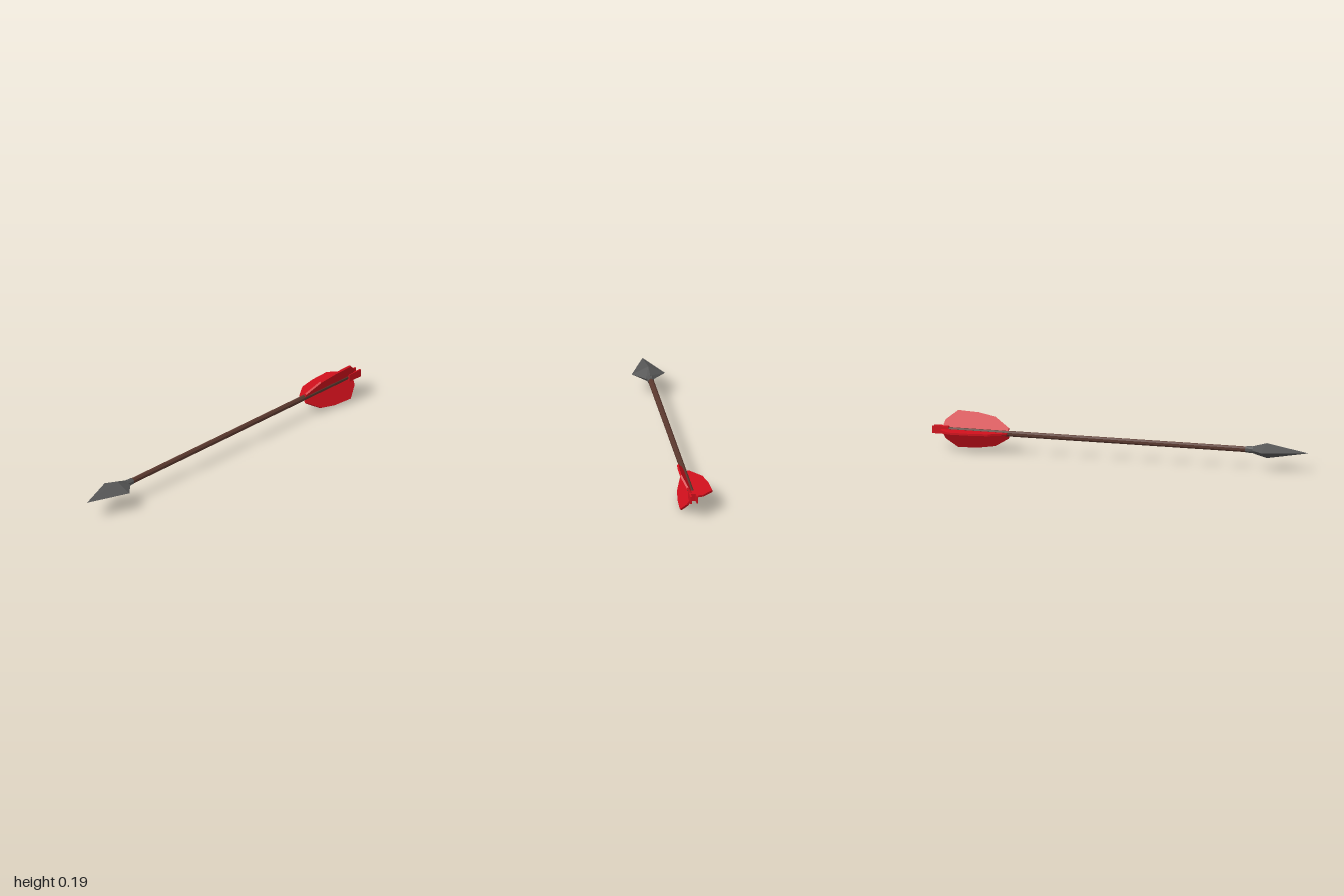
import * as THREE from 'three';

const mat = (color) => new THREE.MeshStandardMaterial({ color, flatShading: true });

// Loft elliptical rings [x, halfY, halfZ] along x, with closed ends
function loft(rings, sides, turn = 0) {
  const pos = [];
  const point = ([x, ry, rz], i) => {
    const a = (i / sides) * Math.PI * 2 + turn;
    return [x, Math.cos(a) * ry, Math.sin(a) * rz];
  };
  const first = rings[0], last = rings[rings.length - 1];
  for (let i = 0; i < sides; i++) {
    for (let k = 0; k < rings.length - 1; k++) {
      const a = point(rings[k], i), b = point(rings[k], i + 1);
      const c = point(rings[k + 1], i + 1), d = point(rings[k + 1], i);
      pos.push(...a, ...b, ...c, ...a, ...c, ...d);
    }
    pos.push(first[0], 0, 0, ...point(first, i + 1), ...point(first, i));
    pos.push(last[0], 0, 0, ...point(last, i), ...point(last, i + 1));
  }
  // wind the triangles outward
  for (let t = 0; t < pos.length; t += 9) {
    for (let j = 0; j < 3; j++) {
      [pos[t + 3 + j], pos[t + 6 + j]] = [pos[t + 6 + j], pos[t + 3 + j]];
    }
  }
  const g = new THREE.BufferGeometry();
  g.setAttribute('position', new THREE.Float32BufferAttribute(pos, 3));
  g.computeVertexNormals();
  return g;
}

export function createModel() {
  const arrow = new THREE.Group();
  arrow.name = 'arrow';
  arrow.position.set(0, 0.095, 0.011);

  const wood = mat(0x5a382e), steel = mat(0x555555), red = mat(0xd0101c);
  for (const m of [wood, steel, red]) m.side = THREE.DoubleSide;

  const add = (name, geometry, material, parent = arrow) => {
    const mesh = new THREE.Mesh(geometry, material);
    mesh.name = name;
    parent.add(mesh);
    return mesh;
  };

  // Shaft
  add('shaft', loft([[-0.69, 0.0145, 0.0145], [0.93, 0.0145, 0.0145]], 8, Math.PI / 8), wood);

  // Diamond-section head and the socket behind it
  add('arrowhead', loft([[-1, 0.0005, 0.0005], [-0.78, 0.038, 0.084], [-0.705, 0.018, 0.021]], 4), steel);
  add('socket', loft([[-0.72, 0.018, 0.02], [-0.67, 0.0165, 0.0165]], 8, Math.PI / 8), steel);

  // Three fletchings around the shaft
  const outline = [
    [0.6, 0.008], [0.6, 0.029], [0.68, 0.083], [0.775, 0.101],
    [0.885, 0.106], [0.942, 0.053], [0.952, 0.008],
  ].map(([x, y]) => new THREE.Vector2(x, y));
  const vane = new THREE.ExtrudeGeometry(new THREE.Shape(outline), { depth: 0.01, bevelEnabled: false });
  vane.translate(0, 0, -0.005);
  const fletching = new THREE.Group();
  fletching.name = 'fletching';
  arrow.add(fletching);
  for (const angle of [30, 150, 270]) {
    add('vane', vane, red, fletching).rotation.x = THREE.MathUtils.degToRad(angle);
  }

  // Nock: a block with two prongs
  const nock = new THREE.Group();
  nock.name = 'nock';
  arrow.add(nock);
  add('nockBase', new THREE.BoxGeometry(0.045, 0.038, 0.04), red, nock).position.x = 0.9375;
  for (const s of [-1, 1]) {
    add('nockProng', new THREE.BoxGeometry(0.042, 0.038, 0.008), red, nock).position.set(0.979, 0, s * 0.016);
  }

  return arrow;
}
